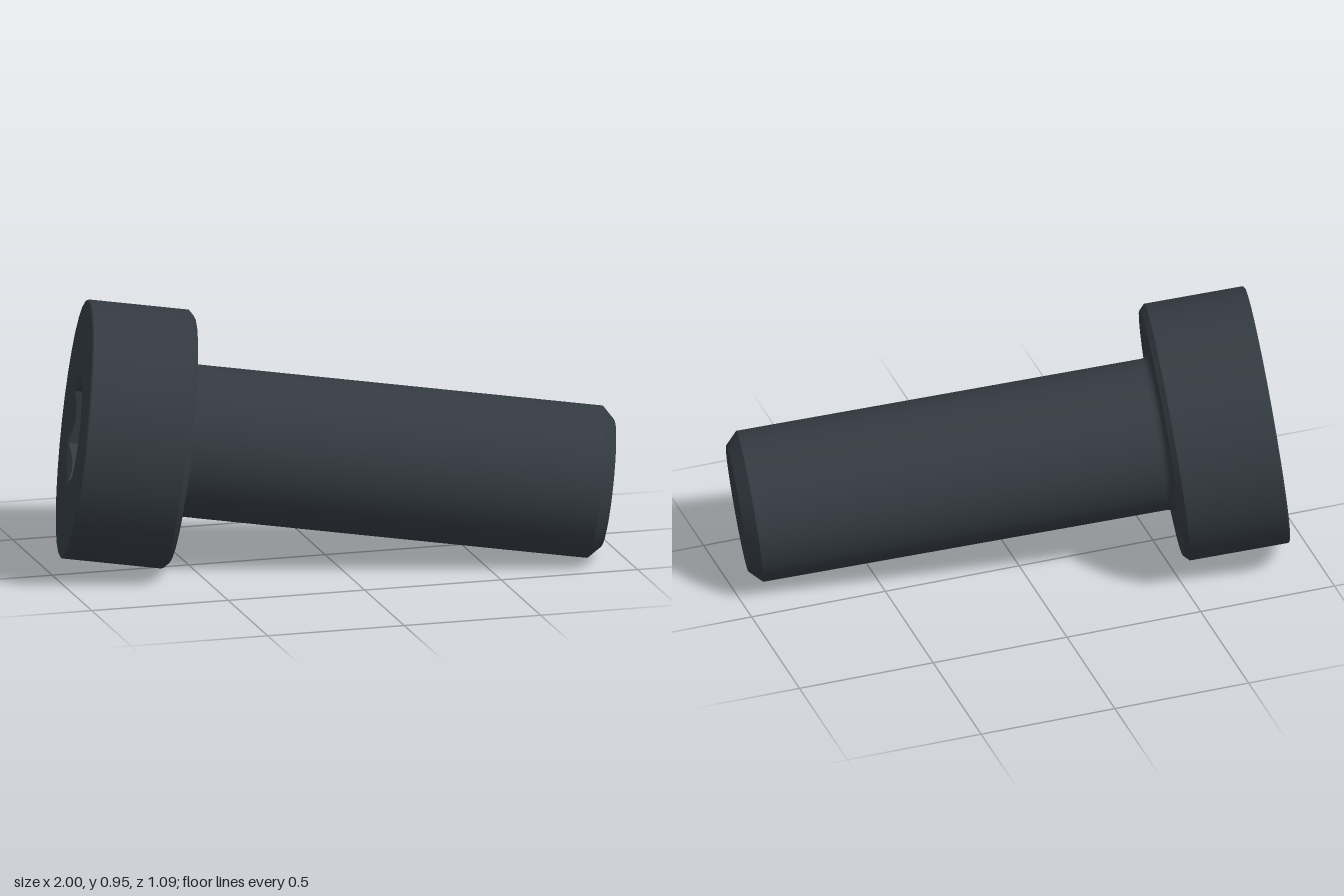
import * as THREE from 'three';

const SIDES = 32;
const HEAD_R = 0.459, HEAD_H = 0.378, SHAFT_R = 0.27, LENGTH = 1.895;
const SINK_R = 0.195, HEX_R = 0.19, HEX_DEPTH = 0.27;

export function createModel() {
  const steel = new THREE.MeshStandardMaterial({ color: 0x333a41 });
  steel.name = 'dark steel';

  const bolt = new THREE.Group();
  bolt.name = 'socketHeadBolt';

  const add = (name, geometry) => {
    const mesh = new THREE.Mesh(geometry, steel);
    mesh.name = name;
    bolt.add(mesh);
  };
  // One smooth turned surface; separate runs keep the edges between them sharp
  const turned = (name, points) =>
    add(name, new THREE.LatheGeometry(points.map(([r, y]) => new THREE.Vector2(r, y)), SIDES));

  // Shaft, from the tip up to the head
  const tip = 0.044;
  turned('tipFace', [[0, -LENGTH], [SHAFT_R - tip, -LENGTH]]);
  turned('tipChamfer', [[SHAFT_R - tip, -LENGTH], [SHAFT_R, -LENGTH + tip]]);
  const fillet = 0.025;
  turned('shaft', [[SHAFT_R, -LENGTH + tip], [SHAFT_R, -HEAD_H - fillet]]);
  const arc = [];
  for (let i = 0; i <= 5; i++) {
    const a = (i / 5) * Math.PI / 2;
    arc.push([SHAFT_R + fillet * (1 - Math.cos(a)), -HEAD_H - fillet * (1 - Math.sin(a))]);
  }
  turned('neckFillet', arc);

  // Head
  const low = 0.02, top = 0.005;
  turned('headUnderside', [[SHAFT_R + fillet, -HEAD_H], [HEAD_R - low, -HEAD_H]]);
  turned('headLowerChamfer', [[HEAD_R - low, -HEAD_H], [HEAD_R, -HEAD_H + low]]);
  turned('headSide', [[HEAD_R, -HEAD_H + low], [HEAD_R, -top]]);
  turned('headUpperChamfer', [[HEAD_R, -top], [HEAD_R - top, 0]]);

  // Head face with a round opening
  const SEG = 48;
  const circle = (r, n) => Array.from({ length: n }, (_, i) => {
    const a = (i / n) * Math.PI * 2;
    return new THREE.Vector2(r * Math.cos(a), r * Math.sin(a));
  });
  const face = new THREE.Shape(circle(HEAD_R - top, SIDES));
  face.holes.push(new THREE.Path(circle(SINK_R, SEG)));
  add('headFace', new THREE.ShapeGeometry(face).rotateX(-Math.PI / 2));

  // Hex socket: rings for the opening, the countersunk rim and the floor
  const hexRadius = (a) => {
    const step = Math.PI / 3;
    const fromFlat = a - Math.round(a / step) * step;
    return HEX_R * Math.cos(Math.PI / 6) / Math.cos(fromFlat);
  };
  const ringPoint = (row, i) => {
    const a = (i / SEG) * Math.PI * 2;
    const r = row === 0 ? SINK_R : hexRadius(a);
    const y = [0, -(SINK_R - r) * 0.58, -HEX_DEPTH][row];
    return [r * Math.cos(a), y, r * Math.sin(a)];
  };
  // Band between two rings, facing the socket axis
  const band = (row) => {
    const pos = [];
    for (let i = 0; i < SEG; i++) {
      const a = ringPoint(row, i), b = ringPoint(row, i + 1);
      const c = ringPoint(row + 1, i), d = ringPoint(row + 1, i + 1);
      pos.push(...a, ...c, ...b, ...b, ...c, ...d);
    }
    const g = new THREE.BufferGeometry();
    g.setAttribute('position', new THREE.Float32BufferAttribute(pos, 3));
    g.computeVertexNormals();
    return g;
  };
  add('socketCountersink', band(0));
  add('socketWalls', band(1));
  const floor = new THREE.CircleGeometry(HEX_R, 6, Math.PI / 6).rotateX(-Math.PI / 2);
  add('socketFloor', floor.translate(0, -HEX_DEPTH, 0));

  // Lay the bolt over so its axis runs down to the right and forward
  const up = new THREE.Vector3(-1, 0.127, -0.213).normalize();
  const side = new THREE.Vector3(-0.213, 0, 1).normalize();
  const out = new THREE.Vector3().crossVectors(side, up);
  bolt.quaternion.setFromRotationMatrix(new THREE.Matrix4().makeBasis(side, up, out));
  bolt.position.set(-0.891, 0.5, -0.099);

  const model = new THREE.Group();
  model.name = 'bolt';
  model.add(bolt);
  return model;
}
